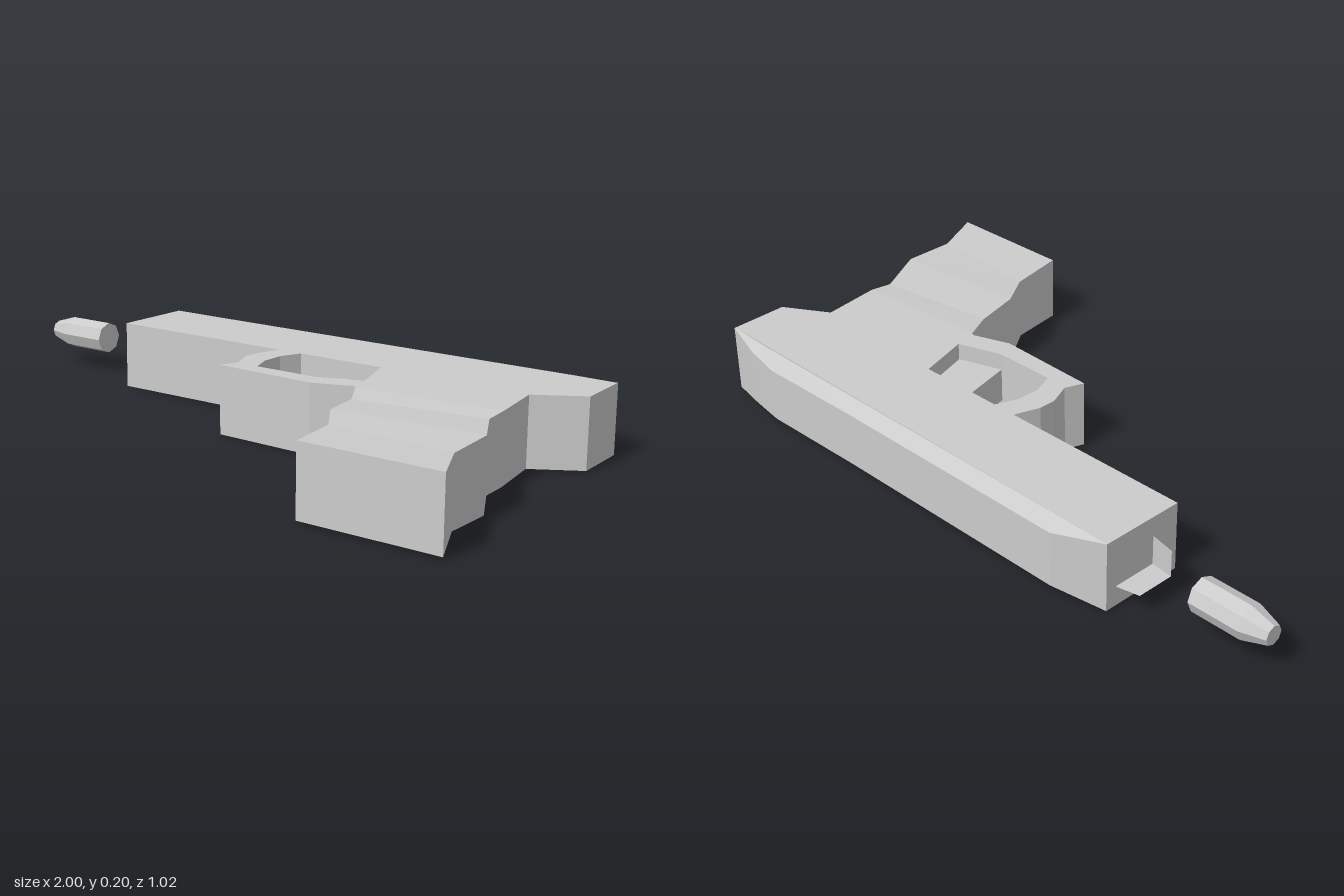
import * as THREE from 'three';

const material = new THREE.MeshStandardMaterial({ color: 0xcccccc, flatShading: true });

function addMesh(parent, name, geometry) {
  const mesh = new THREE.Mesh(geometry, material);
  mesh.name = name;
  parent.add(mesh);
  return mesh;
}

// Upright slab from an outline of [x, z] points, with an optional hole
function slab(outline, y0, y1, hole) {
  const toPoints = (pts) => pts.map(([x, z]) => new THREE.Vector2(x, -z));
  const shape = new THREE.Shape(toPoints(outline));
  if (hole) shape.holes.push(new THREE.Path(toPoints(hole)));
  const geo = new THREE.ExtrudeGeometry(shape, { depth: y1 - y0, bevelEnabled: false });
  return geo.rotateX(-Math.PI / 2).translate(0, y0, 0);
}

// Closed skin through four-cornered rings of [x, y, z] points
function loft(rings) {
  const index = [];
  const last = (rings.length - 1) * 4;
  for (let r = 0; r < rings.length - 1; r++) {
    for (let i = 0; i < 4; i++) {
      const a = r * 4 + i, b = r * 4 + (i + 1) % 4;
      index.push(a, b, b + 4, a, b + 4, a + 4);
    }
  }
  index.push(0, 2, 1, 0, 3, 2, last, last + 1, last + 2, last, last + 2, last + 3);
  const geo = new THREE.BufferGeometry();
  geo.setAttribute('position', new THREE.Float32BufferAttribute(rings.flat(2), 3));
  geo.setIndex(index);
  const flat = geo.toNonIndexed();
  flat.computeVertexNormals();
  return flat;
}

export function createModel() {
  const model = new THREE.Group();
  model.name = 'pistolWithBullet';

  // Slide, frame and trigger guard
  addMesh(model, 'frame', slab(
    [[-0.58, -0.46], [0.93, -0.455], [0.94, -0.28], [0.81, -0.2], [0.84, -0.02],
      [0.42, 0.01], [0.41, 0.005], [0.3, 0.045], [-0.01, 0.035], [0.01, -0.02], [-0.02, -0.09],
      [-0.02, -0.14], [0.005, -0.215], [-0.58, -0.215]],
    0.003, 0.2,
    [[0.08, -0.215], [0.055, -0.15], [0.055, -0.08], [0.08, -0.015],
      [0.27, -0.015], [0.4, -0.06], [0.35, -0.215]]));

  // Chamfered upper edge of the slide: [x, z of ridge, inset]
  const ridge = [[-0.58, -0.462, 0], [-0.43, -0.505, 0.02], [0.34, -0.505, 0.02],
    [0.68, -0.51, 0.02], [0.8, -0.49, 0.015], [0.93, -0.457, 0]];
  addMesh(model, 'slideRidge', loft(ridge.map(([x, z, inset], i) => {
    const base = i === ridge.length - 1 ? -0.455 : -0.46;
    return [[x, 0.003, base], [x, 0.2, base], [x, 0.2 - inset, z], [x, 0.003 + inset, z]].reverse();
  })));

  // Grip with shallow swells: [front x, front z, rear x, rear z, bottom y, top y]
  const grip = [
    [0.42, 0.01, 0.84, -0.02, 0.003, 0.2],
    [0.47, 0.1, 0.84, 0.05, 0, 0.194],
    [0.5, 0.235, 0.92, 0.2, 0.004, 0.2],
    [0.57, 0.34, 0.93, 0.36, 0.01, 0.196],
    [0.6, 0.51, 1, 0.51, 0.006, 0.2],
  ];
  addMesh(model, 'grip', loft(grip.map(([fx, fz, rx, rz, y0, y1]) =>
    [[fx, y0, fz], [rx, y0, rz], [rx, y1, rz], [fx, y1, fz]])));

  // Trigger, thinner than the frame
  addMesh(model, 'trigger', slab(
    [[0.22, -0.215], [0.27, -0.015], [0.4, -0.06], [0.35, -0.215]], 0.05, 0.15));

  // Tapered barrel end
  const barrel = [[-0.65, 0.055, 0.038], [-0.575, 0.066, 0.042]];
  addMesh(model, 'barrel', loft(barrel.map(([x, hz, hy]) =>
    [[x, 0.102 - hy, -0.365 - hz], [x, 0.102 + hy, -0.365 - hz],
      [x, 0.102 + hy, -0.365 + hz], [x, 0.102 - hy, -0.365 + hz]].reverse())));

  // Bullet in front of the barrel
  const bullet = new THREE.Group();
  bullet.name = 'bullet';
  bullet.position.set(-0.78, 0.104, -0.35);
  bullet.rotation.z = Math.PI / 2;
  const profile = [[0, 0], [0.048, 0], [0.048, 0.15], [0.027, 0.22], [0, 0.22]]
    .map(([r, y]) => new THREE.Vector2(r, y));
  addMesh(bullet, 'bulletBody', new THREE.LatheGeometry(profile, 8));
  model.add(bullet);

  return model;
}
